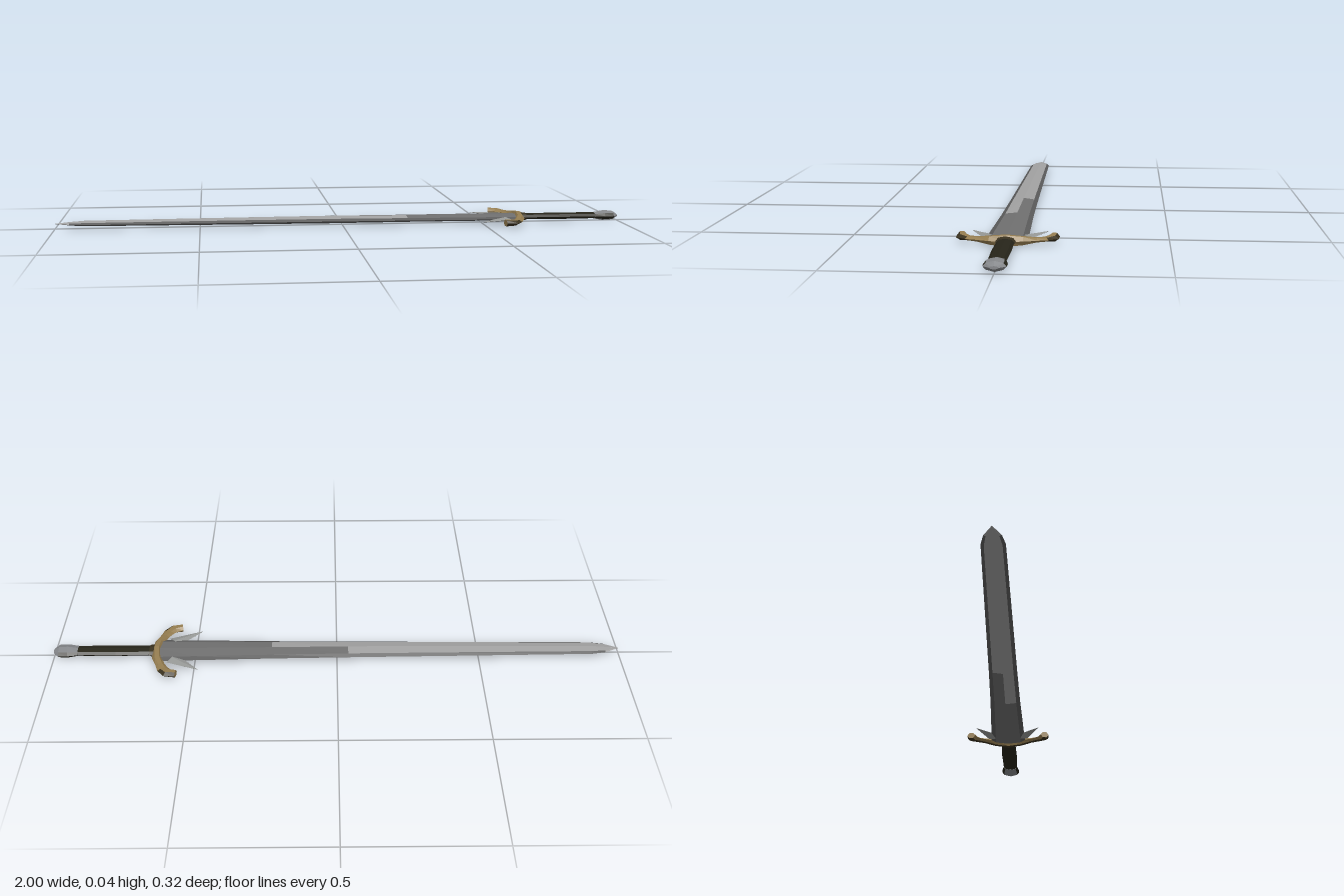
import * as THREE from 'three';

const mat = (name, color) => new THREE.MeshStandardMaterial({ name, color, flatShading: true });
const MID = 0.018; // height of the sword's central plane

// Sweeps a cross-section through stations [x, z, halfWidth, halfHeight].
// Section points are [across, up], running from the top towards +across.
// pick(station, side) gives the material of each face.
function loft(name, stations, section, pick) {
  const n = section.length;
  const rings = stations.map(([x, z, w, h], i) => {
    const a = stations[Math.max(i - 1, 0)], b = stations[Math.min(i + 1, stations.length - 1)];
    const t = new THREE.Vector2(b[0] - a[0], b[1] - a[1]).normalize();
    return section.map(([u, v]) => [x - t.y * u * w, MID + v * h, z + t.x * u * w]);
  });
  const buckets = new Map();
  const add = (m, ...pts) => {
    if (!buckets.has(m)) buckets.set(m, []);
    buckets.get(m).push(...pts.flat());
  };
  for (let i = 0; i < rings.length - 1; i++) {
    for (let j = 0; j < n; j++) {
      const k = (j + 1) % n, A = rings[i], B = rings[i + 1];
      add(pick(i, j), A[j], A[k], B[k], A[j], B[k], B[j]);
    }
  }
  const last = rings.length - 1;
  for (let j = 1; j < n - 1; j++) {
    add(pick(0, 0), rings[0][0], rings[0][j + 1], rings[0][j]);
    add(pick(last - 1, 0), rings[last][0], rings[last][j], rings[last][j + 1]);
  }
  const geo = new THREE.BufferGeometry(), pos = [], mats = [];
  for (const [m, p] of buckets) {
    geo.addGroup(pos.length / 3, p.length / 3, mats.length);
    mats.push(m);
    for (const v of p) pos.push(v);
  }
  geo.setAttribute('position', new THREE.Float32BufferAttribute(pos, 3));
  geo.computeVertexNormals();
  const mesh = new THREE.Mesh(geo, mats);
  mesh.name = name;
  return mesh;
}

export function createModel() {
  const steel = mat('lightSteel', 0xa2a2a2);
  const darkSteel = mat('darkSteel', 0x707070);
  const edge = mat('edgeSteel', 0x5c5c5c);
  const barbSteel = mat('barbSteel', 0x969896);
  const brass = mat('agedBrass', 0x957d50);
  const darkBrass = mat('darkBrass', 0x3a321f);
  const leather = mat('darkLeather', 0x27251a);
  const pommelSteel = mat('pommelSteel', 0x85878a);

  const sword = new THREE.Group();
  sword.name = 'sword';

  // Ridged section with narrow bevelled edges
  const ridged = [[0, 1], [0.74, 0.6], [1, 0], [0.74, -0.6], [0, -1], [-0.74, -0.6], [-1, 0], [-0.74, 0.6]];
  const bevel = (j) => [1, 2, 5, 6].includes(j);

  // Blade: pointed tip, slowly widening to the guard, darker near the hilt
  const blade = [
    [-1, 0, 0.001, 0.001], [-0.95, 0, 0.027, 0.005], [-0.9, 0, 0.037, 0.009],
    [-0.37, 0, 0.045, 0.012], [-0.04, 0, 0.05, 0.013], [0.23, 0, 0.055, 0.011],
    [0.5, 0, 0.063, 0.01], [0.63, 0, 0.067, 0.01],
  ];
  sword.add(loft('blade', blade, ridged, (i, j) => {
    if (bevel(j)) return i < 1 ? steel : edge;
    const darkFrom = j === 7 || j === 4 ? 4 : 5;
    return i >= darkFrom ? darkSteel : steel;
  }));

  // Barbs sweeping forward from each side of the blade base
  const diamond = [[0, 1], [1, 0], [0, -1], [-1, 0]];
  for (const s of [1, -1]) {
    sword.add(loft(s > 0 ? 'frontBarb' : 'backBarb',
      [[0.58, s * 0.052, 0.029, 0.007], [0.485, s * 0.12, 0.001, 0.001]],
      diamond, () => barbSteel));
  }

  // Cross-guard: thick centre, slim arms and flared ends curling to the blade
  const arm = [
    [0.637, 0, 0.017, 0.018], [0.632, 0.05, 0.017, 0.013], [0.617, 0.09, 0.016, 0.007],
    [0.605, 0.118, 0.02, 0.006], [0.588, 0.139, 0.023, 0.009], [0.558, 0.145, 0.016, 0.011],
  ];
  const guard = [...arm.slice(1).reverse().map(([x, z, w, h]) => [x, -z, w, h]), ...arm];
  const flatTopped = [[-0.45, 1], [0.45, 1], [1, 0], [0.45, -1], [-0.45, -1], [-1, 0]];
  sword.add(loft('crossGuard', guard, flatTopped, (i, j) => {
    const out = Math.abs(i - 4.5); // 0.5 at the centre, 4.5 at the ends
    if (j === 0) return brass;
    if (j === 3) return darkBrass;
    return out > 3 && (j === 4 || j === 5) ? darkBrass : brass;
  }));

  // Collar and grip
  const oval = Array.from({ length: 8 }, (_, k) => {
    const a = (k / 8) * Math.PI * 2;
    return [Math.sin(a), Math.cos(a)];
  });
  sword.add(loft('collar', [[0.64, 0, 0.033, 0.016], [0.662, 0, 0.031, 0.013]], oval, () => darkBrass));
  sword.add(loft('grip', [[0.655, 0, 0.027, 0.011], [0.78, 0, 0.03, 0.012], [0.925, 0, 0.027, 0.011]],
    oval, () => leather));

  // Pommel: faceted steel with dark sides
  sword.add(loft('pommel', [
    [0.915, 0, 0.029, 0.012], [0.95, 0, 0.035, 0.018], [0.982, 0, 0.034, 0.016], [1, 0, 0.014, 0.005],
  ], ridged, (i, j) => (bevel(j) && i < 2 ? leather : pommelSteel)));

  return sword;
}
